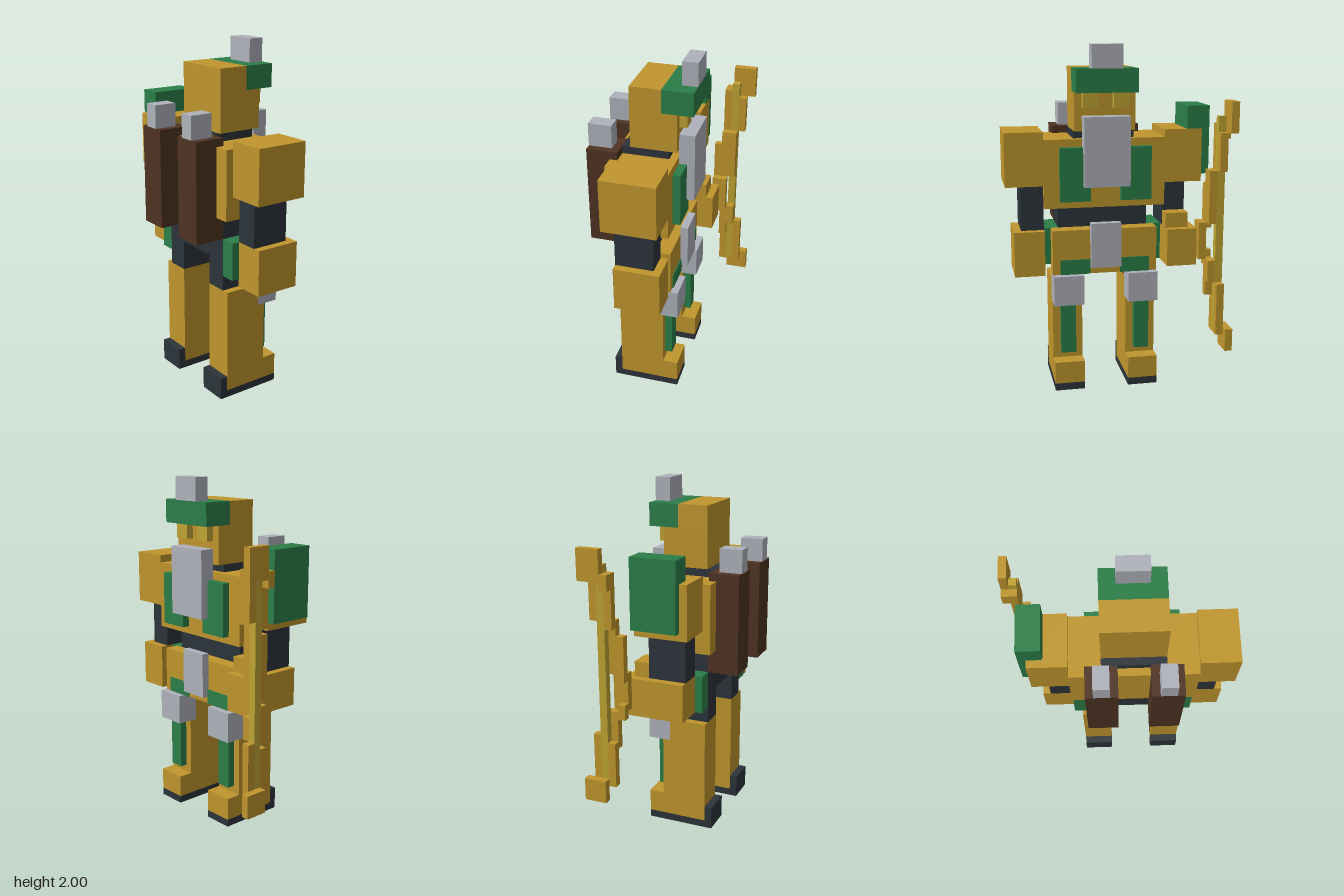
import * as THREE from 'three';

const U = 2 / 46; // one block

const material = (name, color) => {
  const m = new THREE.MeshStandardMaterial({ color });
  m.name = name;
  return m;
};

export function createModel() {
  const model = new THREE.Group();
  model.name = 'archer';
  const gold = material('gold', 0xc0962d);
  const dark = material('charcoal', 0x2c343a);
  const brown = material('brown', 0x4e3322);
  const green = material('green', 0x2b7e48);
  const gray = material('gray', 0xafb2bb);
  const yellow = material('yellow', 0xbfa433);

  // Block spanning grid cells x0..x1, y0..y1, z0..z1
  function block(name, mat, x0, x1, y0, y1, z0, z1) {
    const mesh = new THREE.Mesh(new THREE.BoxGeometry((x1 - x0) * U, (y1 - y0) * U, (z1 - z0) * U), mat);
    mesh.position.set(((x0 + x1) / 2 - 14.5) * U, ((y0 + y1) / 2) * U, ((z0 + z1) / 2 - 8.5) * U);
    mesh.name = name;
    model.add(mesh);
  }
  // Block and its mirror image across the middle of the body (x = 16)
  function pair(name, mat, x0, x1, ...rest) {
    block(name + 'Right', mat, x0, x1, ...rest);
    block(name + 'Left', mat, 32 - x1, 32 - x0, ...rest);
  }

  // Head, brow and crest
  block('face', gold, 12, 20, 35, 40, 6, 12);
  block('headTop', gold, 12, 20, 40, 43, 8, 12);
  block('brow', green, 12, 20, 40, 43, 4, 8);
  block('crest', gray, 14, 18, 43, 46, 4, 6);
  pair('eye', yellow, 13, 15, 38, 40, 5, 6);

  // Torso
  block('neck', dark, 12, 20, 34, 35, 7, 13);
  block('torso', gold, 8, 24, 25, 34, 6, 14);
  block('chestPlate', gray, 13, 19, 28, 37, 4, 6);
  pair('chestPanel', green, 10, 14, 26, 33, 5, 6);
  block('hips', dark, 10, 22, 19, 25, 8, 13);

  // Quivers on the back
  pair('quiver', brown, 10, 14, 22, 35, 13, 17);
  pair('arrows', gray, 11, 13, 35, 38, 14, 17);

  // Belt and hip guards
  block('belt', gold, 9, 23, 16, 22, 6, 8);
  pair('beltStripe', green, 10, 14, 16, 18, 5.85, 6);
  block('beltBuckle', gray, 14, 18, 17, 23, 5, 6);
  pair('hipGuard', green, 8, 10, 17, 22, 8, 13);

  // Legs
  pair('thigh', dark, 10, 13, 15, 19, 8, 13);
  pair('shin', gold, 9, 13, 1, 12, 7, 13);
  pair('upperShin', gold, 9, 13, 12, 15, 8, 13);
  pair('knee', gray, 9, 13, 12, 16, 5, 8);
  pair('shinGuard', green, 10, 12, 5, 12, 6, 7);
  pair('toe', gold, 9, 13, 1, 4, 5, 7);
  pair('sole', dark, 9, 13, 0, 1, 5, 13);
  pair('heel', dark, 9, 13, 0, 3, 13, 14);

  // Arms
  pair('shoulder', gold, 3, 8, 28, 35, 6, 13);
  pair('upperArm', dark, 5, 8, 22, 28, 7, 12);
  block('forearm', gold, 24, 28, 16, 22, 6, 12);
  block('bowForearm', gold, 4, 8, 17, 22, 4, 12);
  block('bowWrist', gold, 5, 8, 22, 24, 5, 7);
  block('shoulderGuardSide', green, 2, 3, 29, 35, 6, 12);
  block('shoulderGuardTop', green, 2, 5, 35, 38, 6, 12);

  // Bow, stepping outward from the grip to both tips
  block('bowGrip', gold, 3, 4, 18, 23, 3, 5);
  block('bowString', yellow, 1, 2, 8, 37, 2, 3);
  const limbs = [
    [2, 3, 23, 30, 2, 4], [2, 3, 15, 19, 2, 4], [2, 3, 13, 15, 3, 4],
    [2, 3, 22, 28, 4, 5], [2, 3, 17, 19, 4, 5],
    [1, 2, 30, 35, 1, 2], [1, 2, 29, 36, 3, 4], [1, 2, 8, 15, 1, 2], [1, 2, 8, 14, 3, 4],
    [0, 1, 35, 39, 0, 3], [0, 1, 34, 36, 3, 4], [0, 1, 6, 9, 0, 3],
  ];
  // Keep the string visible where the lower limb is open
  limbs.forEach((l) => {
    const top = l[0] === 2 && l[4] === 2 && l[3] === 19 ? 18 : l[3];
    block('bowLimb', gold, l[0], l[1], l[2], top, l[4], l[5]);
  });

  return model;
}
